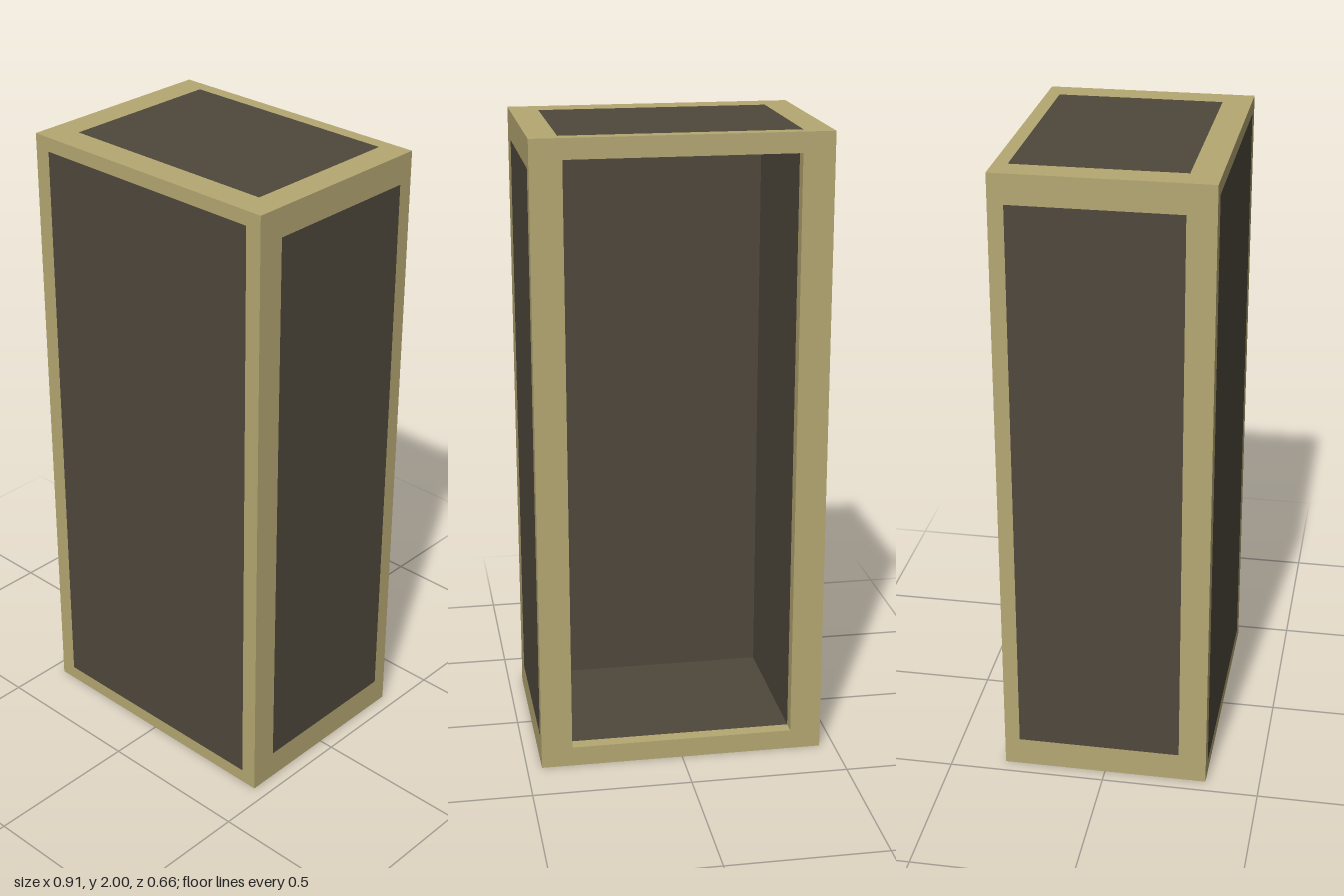
import * as THREE from 'three';

const W = 0.453, H = 1, D = 0.328;            // outer half sizes
const IX = 0.355, IY = 0.937;                 // cavity half sizes
const LIP = -0.285, INNER = 0.237;            // z of the rear lip's inner edge and of the cavity's end

const wood = new THREE.MeshStandardMaterial({ color: 0xb5a873 });
const dark = new THREE.MeshStandardMaterial({ color: 0x4f483c });

function rect(Type, x0, x1, y0, y1) {
  const r = new Type();
  r.moveTo(x0, y0).lineTo(x1, y0).lineTo(x1, y1).lineTo(x0, y1).closePath();
  return r;
}

function add(parent, name, geometry, material) {
  const mesh = new THREE.Mesh(geometry, material);
  mesh.name = name;
  parent.add(mesh);
}

// One outer face: a wooden border with a flush dark panel, or an opening
function face(name, w, h, dist, inset, rx, ry, open = false) {
  const g = new THREE.Group();
  g.name = name;
  const border = rect(THREE.Shape, -w, w, -h, h);
  border.holes.push(rect(THREE.Path, ...inset));
  add(g, name + 'Border', new THREE.ShapeGeometry(border).translate(0, 0, dist), wood);
  if (!open) {
    const panel = new THREE.ShapeGeometry(rect(THREE.Shape, ...inset));
    add(g, name + 'Panel', panel.translate(0, 0, dist), dark);
  }
  g.rotation.set(rx, ry, 0);
  return g;
}

// A strip of cavity wall between two depths, turned k quarter turns from the floor
function wall(k, z0, z1) {
  const [span, dist] = k % 2 ? [IY, IX] : [IX, IY];
  return new THREE.PlaneGeometry(2 * span, z1 - z0)
    .rotateX(-Math.PI / 2)
    .translate(0, -dist, (z0 + z1) / 2)
    .rotateZ(k * Math.PI / 2);
}

export function createModel() {
  const model = new THREE.Group();
  model.name = 'openBackCabinet';
  const cabinet = new THREE.Group();
  cabinet.name = 'cabinet';
  cabinet.position.y = H;
  model.add(cabinet);
  const q = Math.PI / 2;

  // Outer faces
  cabinet.add(
    face('front', W, H, D, [-0.4, 0.4, -0.955, 0.955], 0, 0),
    face('back', W, H, D, [-IX, IX, -IY, IY], 0, Math.PI, true),
    face('rightSide', D, H, W, [-0.28, 0.24, -0.908, 0.908], 0, -q),
    face('leftSide', D, H, W, [-0.24, 0.28, -0.908, 0.908], 0, q),
    face('top', W, D, H, [-0.364, 0.364, -0.237, 0.285], -q, 0),
    face('bottom', W, D, H, [-0.364, 0.364, -0.285, 0.237], q, 0)
  );

  // Cavity: wooden lip around the opening, then dark lining
  ['floor', 'leftWall', 'ceiling', 'rightWall'].forEach((name, k) => {
    add(cabinet, name + 'Lip', wall(k, -D, LIP), wood);
    add(cabinet, name + 'Lining', wall(k, LIP, INNER), dark);
  });
  const end = new THREE.PlaneGeometry(2 * IX, 2 * IY).rotateY(Math.PI).translate(0, 0, INNER);
  add(cabinet, 'frontLining', end, dark);

  return model;
}
